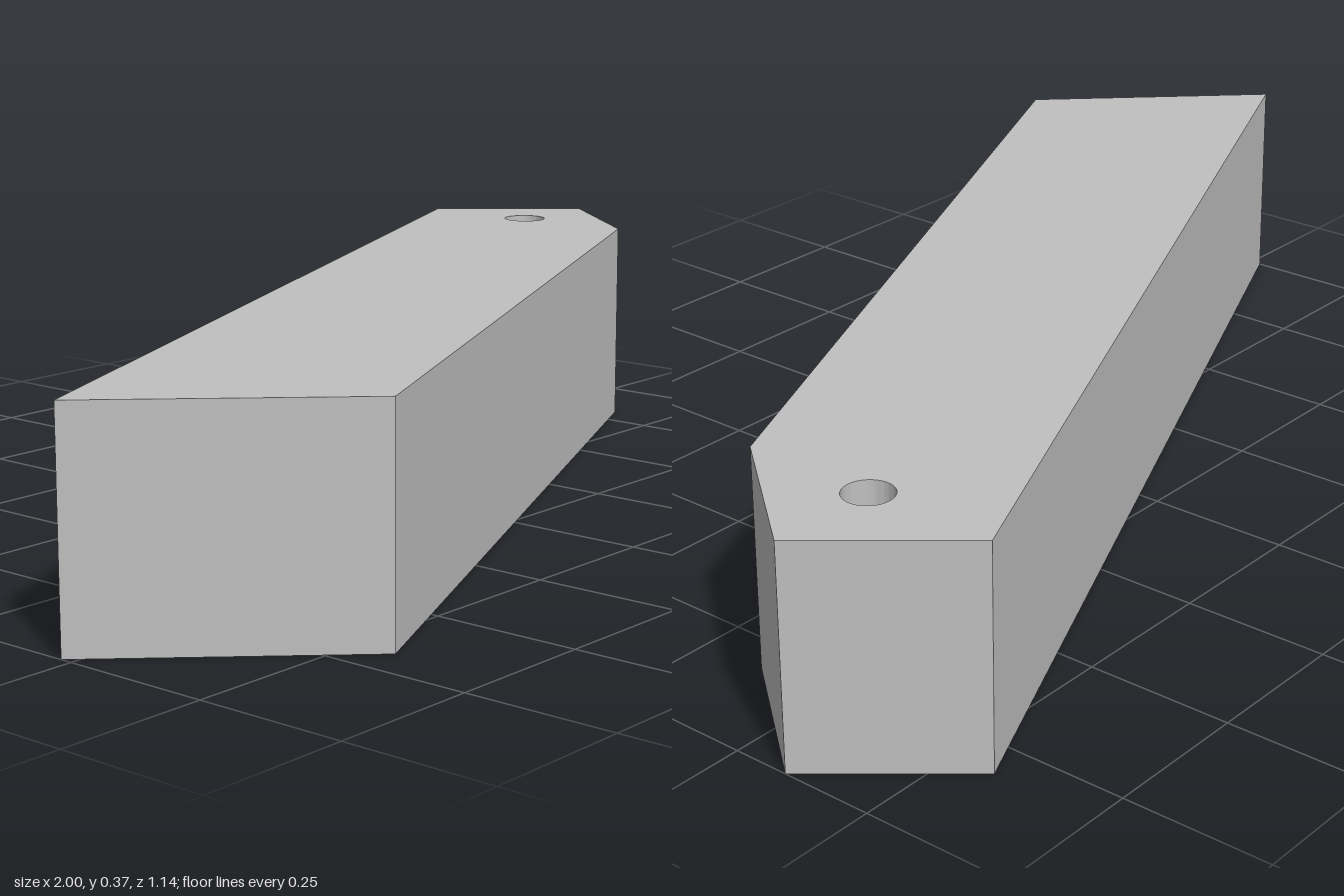
import * as THREE from 'three';
import { toCreasedNormals } from 'three/addons/utils/BufferGeometryUtils.js';

const HEIGHT = 0.37;

export function createModel() {
  const group = new THREE.Group();
  group.name = 'pointedBar';

  const grey = new THREE.MeshStandardMaterial({ color: 0xc0c0c0 });
  grey.name = 'grey';

  // Plan outline as [x, z]: slanted tail end, long sides, pointed tip
  const outline = [[-1, 0.23], [-0.68, 0.57], [0.815, -0.115], [1, -0.345], [0.815, -0.573]];
  const plan = new THREE.Shape(outline.map(([x, z]) => new THREE.Vector2(x, -z)));

  // Round hole through the bar near the tip
  const hole = new THREE.Path();
  hole.absarc(0.815, 0.347, 0.04, 0, Math.PI * 2, true);
  plan.holes.push(hole);

  // Raise the plan to the bar's height, keeping edges sharp and the hole smooth
  const solid = new THREE.ExtrudeGeometry(plan, { depth: HEIGHT, bevelEnabled: false, curveSegments: 32 });
  solid.rotateX(-Math.PI / 2);

  const bar = new THREE.Mesh(toCreasedNormals(solid, 0.3), grey);
  bar.name = 'bar';
  group.add(bar);
  return group;
}
